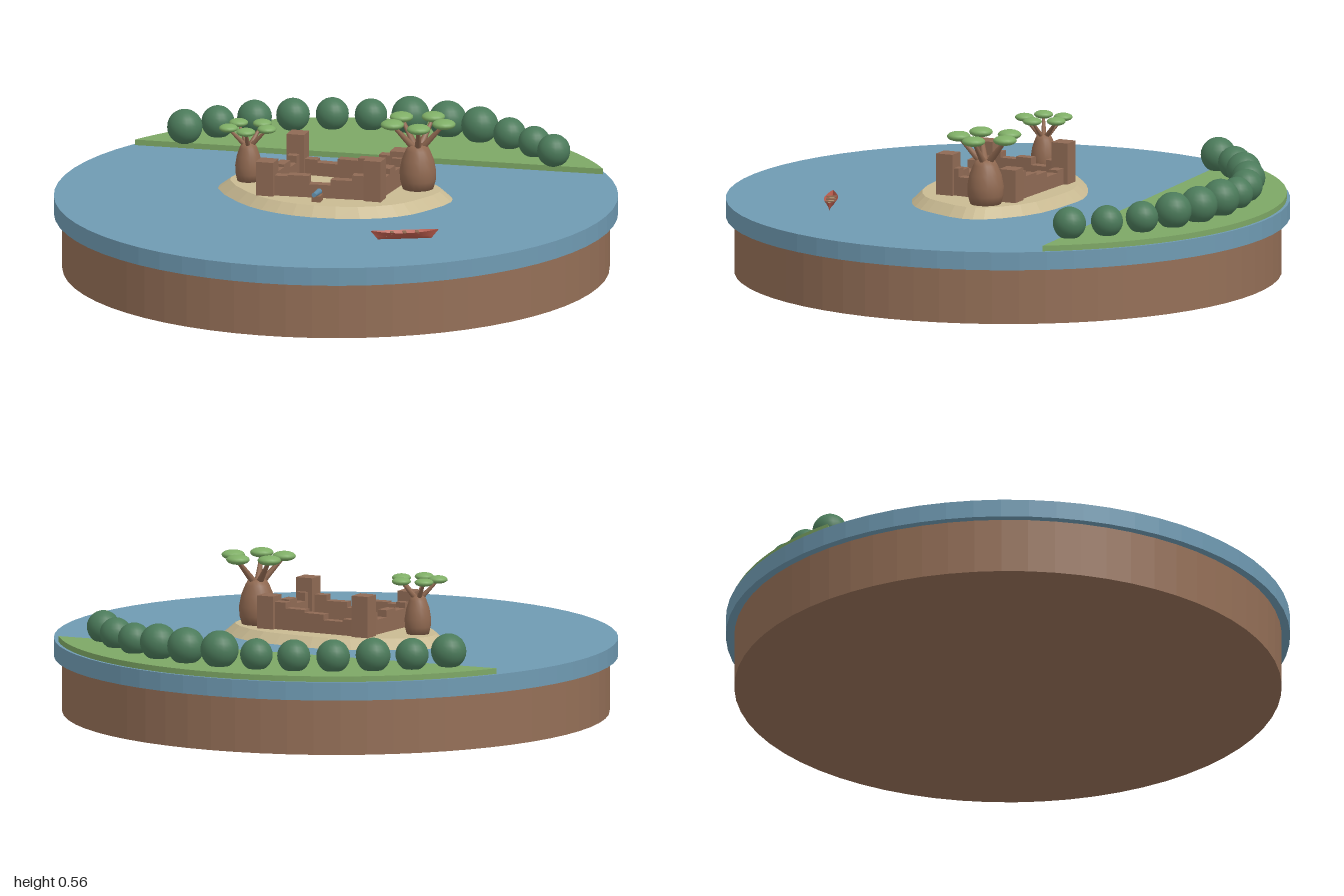
import * as THREE from 'three';

const mat = (name, color, extra = {}) => Object.assign(new THREE.MeshStandardMaterial({ color, ...extra }), { name });

export function createModel() {
  const soil = mat('soil', 0x946f57, { flatShading: true });
  const water = mat('water', 0x6f9ab2, { flatShading: true });
  const grass = mat('grass', 0x7da765);
  const bush = mat('bush', 0x4b7a5a);
  const sand = mat('sand', 0xc9ba92, { flatShading: true });
  const stone = mat('stone', 0x8f6a54);
  const bark = mat('bark', 0x8f6850);
  const leaf = mat('leaf', 0x7fae66);
  const red = mat('red paint', 0xb85a4b, { side: THREE.DoubleSide });
  const iron = mat('blue iron', 0x5f8ca8);

  const model = new THREE.Group();
  const add = (parent, name, geo, material, x = 0, y = 0, z = 0) => {
    const m = new THREE.Mesh(geo, material);
    m.name = name;
    m.position.set(x, y, z);
    parent.add(m);
    return m;
  };
  const group = (name) => {
    const g = new THREE.Group();
    g.name = name;
    model.add(g);
    return g;
  };

  // Round base and water disc
  add(model, 'soilBase', new THREE.CylinderGeometry(0.97, 0.97, 0.2, 64), soil, 0, 0.1, 0);
  add(model, 'waterDisc', new THREE.CylinderGeometry(1, 1, 0.065, 64), water, 0, 0.2325, 0);

  // Shore: circle segment cut by a straight bank
  const shore = new THREE.Shape();
  shore.absarc(0, 0, 0.988, 0.183, 2.267, false);
  shore.closePath();
  const shoreGeo = new THREE.ExtrudeGeometry(shore, { depth: 0.02, bevelEnabled: false, curveSegments: 40 });
  shoreGeo.rotateX(-Math.PI / 2);
  add(model, 'grassShore', shoreGeo, grass, 0, 0.265, 0);

  // Row of round bushes: x, z, radius
  const bushes = group('bushRow');
  [[-0.46, -0.72, 0.063], [-0.335, -0.785, 0.059], [-0.2, -0.825, 0.062], [-0.06, -0.85, 0.06],
    [0.08, -0.85, 0.059], [0.215, -0.825, 0.058], [0.35, -0.775, 0.068], [0.475, -0.705, 0.067],
    [0.58, -0.62, 0.066], [0.675, -0.515, 0.058], [0.75, -0.395, 0.057], [0.805, -0.265, 0.059],
  ].forEach(([x, z, r]) => add(bushes, 'bush', new THREE.SphereGeometry(r, 20, 14), bush, x, 0.285 + r * 0.84, z));

  // Sandy island: sloped rim and flat top from one outline
  const outline = new THREE.CatmullRomCurve3([
    [-0.405, -0.14], [-0.365, -0.225], [-0.21, -0.27], [0, -0.27], [0.14, -0.21], [0.3, -0.11], [0.4, 0.05],
    [0.395, 0.14], [0.3, 0.245], [0.21, 0.31], [0.06, 0.338], [-0.13, 0.29], [-0.26, 0.2], [-0.345, 0.08],
  ].map(([x, z]) => new THREE.Vector3(x, 0, z)), true).getPoints(32).slice(0, 32);
  const n = outline.length;
  const verts = [];
  const faces = [];
  outline.forEach((p) => verts.push(p.x, 0.265, p.z));
  outline.forEach((p) => verts.push(p.x * 0.9, 0.3, 0.03 + (p.z - 0.03) * 0.88));
  verts.push(0, 0.3, 0.03);
  for (let i = 0; i < n; i++) {
    const j = (i + 1) % n;
    faces.push(i, n + i, j, n + i, n + j, j, 2 * n, n + j, n + i);
  }
  const islandGeo = new THREE.BufferGeometry();
  islandGeo.setAttribute('position', new THREE.Float32BufferAttribute(verts, 3));
  islandGeo.setIndex(faces);
  islandGeo.computeVertexNormals();
  add(model, 'island', islandGeo, sand);

  // Ruined fort: corner towers (x, z, height) and broken walls between them
  const fort = group('fort');
  const corners = [[-0.115, -0.19, 0.15], [0.235, -0.025, 0.12], [0.115, 0.205, 0.15], [-0.255, 0.085, 0.125]];
  const wallHeights = [
    [0.06, 0.05, 0.07, 0.08, 0.1],
    [0.1, 0.07, 0.09, 0.07, 0.1],
    [0.09, 0.07, 0.05, 0.08, 0.075],
    [0.09, 0.07, 0.08, 0.055, 0.08],
  ];
  corners.forEach(([x, z, h], c) => {
    const tower = add(fort, 'tower', new THREE.BoxGeometry(0.064, h, 0.064), stone, x, 0.298 + h / 2, z);
    tower.rotation.y = -0.4;
    const [x2, z2] = corners[(c + 1) % 4];
    const length = Math.hypot(x2 - x, z2 - z);
    wallHeights[c].forEach((wh, i) => {
      const t = (i + 0.5) / 5;
      const wall = add(fort, 'wallBlock', new THREE.BoxGeometry(length / 5, wh, 0.036), stone,
        x + (x2 - x) * t, 0.298 + wh / 2, z + (z2 - z) * t);
      wall.rotation.y = -Math.atan2(z2 - z, x2 - x);
    });
  });

  // Cannon outside the front wall
  const cannon = group('cannon');
  cannon.position.set(-0.09, 0.3, 0.205);
  cannon.rotation.y = -0.35;
  add(cannon, 'carriage', new THREE.BoxGeometry(0.032, 0.022, 0.04), bark, 0, 0.011, -0.005);
  const barrel = new THREE.CylinderGeometry(0.008, 0.011, 0.08, 12);
  barrel.rotateX(Math.PI / 2 - 0.08);
  add(cannon, 'barrel', barrel, iron, 0, 0.031, 0.008);

  // Bottle-shaped trees with five flat crowns
  const bottleTree = (x, z, r, h, reach, crownY, crownR, turn) => {
    const tree = group('bottleTree');
    tree.position.set(x, 0.298, z);
    const profile = [[0, 0], [0.84, 0], [0.98, 0.2], [1, 0.4], [0.88, 0.65], [0.66, 0.86], [0.5, 0.97], [0, 1]]
      .map(([a, b]) => new THREE.Vector2(a * r, b * h));
    add(tree, 'trunk', new THREE.LatheGeometry(profile, 18), bark);
    for (let i = 0; i < 5; i++) {
      const a = turn + i * Math.PI * 0.4;
      const from = new THREE.Vector3(Math.cos(a) * r * 0.25, h * 0.92, Math.sin(a) * r * 0.25);
      const to = new THREE.Vector3(Math.cos(a) * reach, crownY - 0.3, Math.sin(a) * reach);
      const dir = to.clone().sub(from);
      const branch = add(tree, 'branch', new THREE.CylinderGeometry(r * 0.09, r * 0.2, dir.length(), 8), bark);
      branch.position.copy(from).addScaledVector(dir, 0.5);
      branch.quaternion.setFromUnitVectors(new THREE.Vector3(0, 1, 0), dir.normalize());
      add(tree, 'crown', new THREE.SphereGeometry(crownR, 16, 10).scale(1, 0.42, 1), leaf, to.x, to.y + 0.002, to.z);
    }
  };
  bottleTree(0.285, 0.063, 0.065, 0.165, 0.096, 0.54, 0.042, 0.4);
  bottleTree(-0.3, -0.11, 0.047, 0.142, 0.072, 0.494, 0.034, 0.55);

  // Boat: open pointed hull from V-shaped sections, with light thwarts
  const boat = group('boat');
  boat.position.set(0.177, 0.264, 0.618);
  const hull = new THREE.PlaneGeometry(1, 1, 12, 4);
  const pos = hull.attributes.position;
  for (let i = 0; i < pos.count; i++) {
    const u = pos.getX(i) * 2;
    const v = pos.getY(i) * 2;
    const rise = Math.abs(v) ** 1.4;
    pos.setXYZ(i, u * (0.095 + 0.027 * rise), rise * (0.027 + 0.006 * u * u), -v * 0.025 * (1 - u * u));
  }
  hull.computeVertexNormals();
  add(boat, 'hull', hull, red);
  add(boat, 'floor', new THREE.BoxGeometry(0.13, 0.004, 0.018), sand, 0, 0.015, 0);
  for (const x of [-0.045, 0, 0.045]) add(boat, 'thwart', new THREE.BoxGeometry(0.012, 0.004, 0.036), bark, x, 0.024, 0);

  return model;
}
